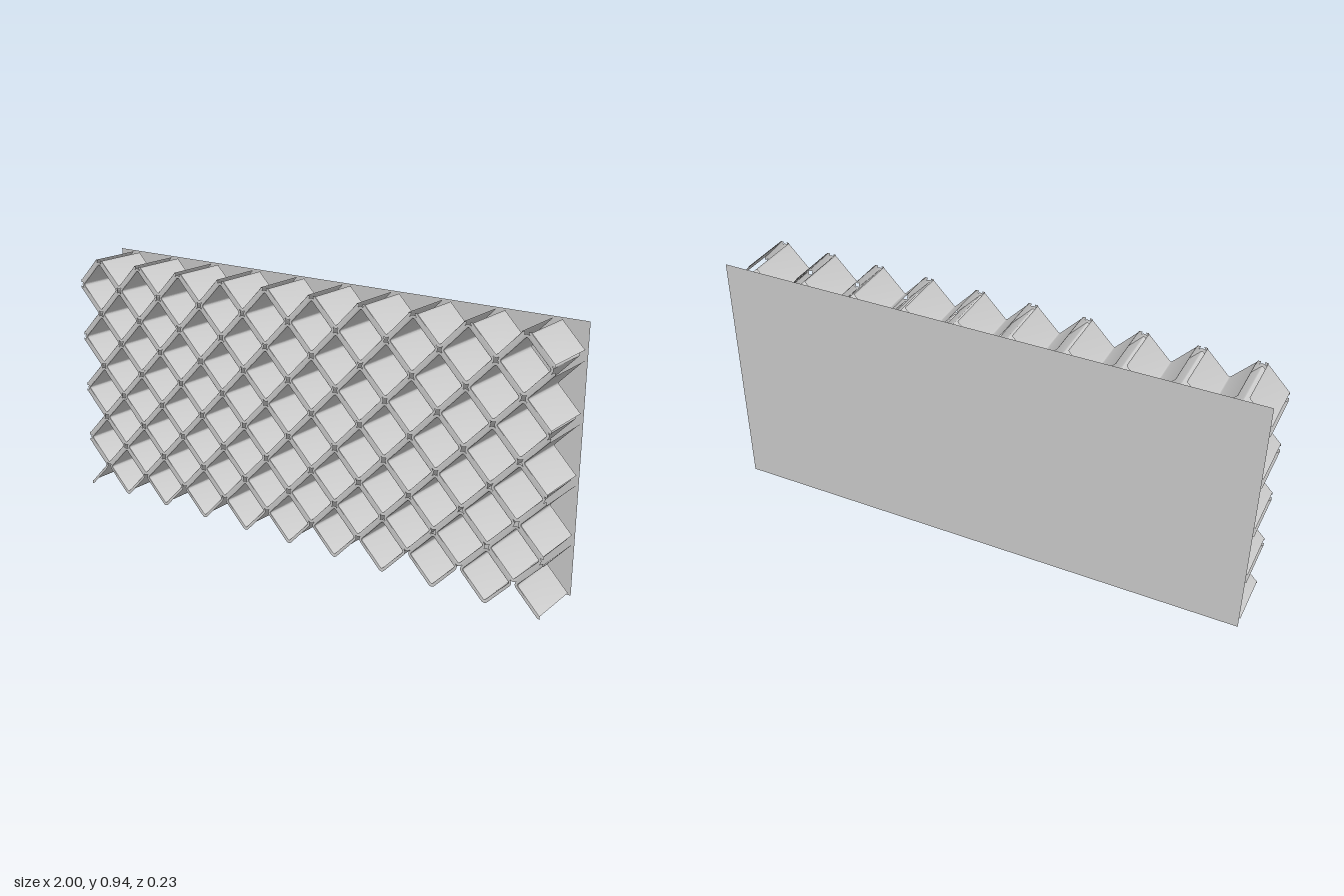
import * as THREE from 'three';
import { mergeGeometries, toCreasedNormals } from 'three/addons/utils/BufferGeometryUtils.js';

const HALF_W = 0.1, HALF_H = 0.104;   // half pitch of the diamond grid
const BASE = 0.105;                   // height of the lowest cell centres
const TOP = BASE + 8 * HALF_H;        // top edge, where the upper cells are cut
const FRONT = 0.115, WALL_BACK = -0.093, PANEL_Z = -0.115;
const INSET = 0.85, STEPS = 4;

// One quarter of a rounded diamond, as unit points from the side tip to the top tip
function quarterProfile(round) {
  const pts = [];
  for (let i = 0; i <= STEPS; i++) {
    const t = 0.5 + 0.5 * i / STEPS, u = 1 - t;
    pts.push([1 - round * (u * u + t * t), round * (t * t - u * u)]);
  }
  return pts.concat(pts.map(([x, y]) => [y, x]).reverse());
}
const FLANGE = quarterProfile(0.13), OPENING = quarterProfile(0.06);

// Quarter of a cell: front flange, small rolled lip, then the wall running back
function quarterCell(sx, sy) {
  const rings = [
    { profile: FLANGE, scale: 1, z: FRONT },
    { profile: OPENING, scale: INSET + 0.02, z: FRONT },
    { profile: OPENING, scale: INSET + 0.006, z: FRONT - 0.001 },
    { profile: OPENING, scale: INSET, z: FRONT - 0.004 },
    { profile: OPENING, scale: INSET, z: WALL_BACK },
  ];
  const pos = [], index = [], n = FLANGE.length;
  for (const { profile, scale, z } of rings) {
    for (const [x, y] of profile) pos.push(sx * x * scale * HALF_W, sy * y * scale * HALF_H, z);
  }
  for (let j = 0; j < rings.length - 1; j++) {
    for (let i = 0; i < n - 1; i++) {
      const a = j * n + i, b = a + 1, c = a + n, d = c + 1;
      if (sx * sy > 0) index.push(a, b, c, b, d, c);
      else index.push(a, c, b, b, c, d);
    }
  }
  const g = new THREE.BufferGeometry();
  g.setAttribute('position', new THREE.Float32BufferAttribute(pos, 3));
  g.setIndex(index);
  return g;
}

export function createModel() {
  const model = new THREE.Group();
  const material = new THREE.MeshStandardMaterial({ color: 0xcccccc, side: THREE.DoubleSide });

  // Back panel, set slightly behind the cell walls
  const panel = new THREE.Mesh(new THREE.PlaneGeometry(2, TOP), material);
  panel.name = 'backPanel';
  panel.rotation.y = Math.PI;
  panel.position.set(0, TOP / 2, PANEL_Z);
  model.add(panel);

  // Diamond cells in staggered rows, cut in half at the sides and at the top
  const cache = {};
  const cellGeometry = (quarters) => {
    const key = quarters.join('|');
    cache[key] ??= toCreasedNormals(
      mergeGeometries(quarters.map(([sx, sy]) => quarterCell(sx, sy))), Math.PI / 5);
    return cache[key];
  };
  for (let row = 0; row <= 8; row++) {
    const group = new THREE.Group();
    group.name = 'cellRow' + (row + 1);
    const y = BASE + row * HALF_H;
    const count = row % 2 ? 10 : 11;
    for (let i = 0; i < count; i++) {
      const x = (i - (count - 1) / 2) * 2 * HALF_W;
      const quarters = [[1, 1], [-1, 1], [-1, -1], [1, -1]].filter(([sx, sy]) =>
        Math.abs(x + sx * 0.05) < 1 && y + sy * 0.05 < TOP);
      const cell = new THREE.Mesh(cellGeometry(quarters), material);
      cell.name = 'diamondCell';
      cell.position.set(x, y, 0);
      group.add(cell);
    }
    model.add(group);
  }
  return model;
}
